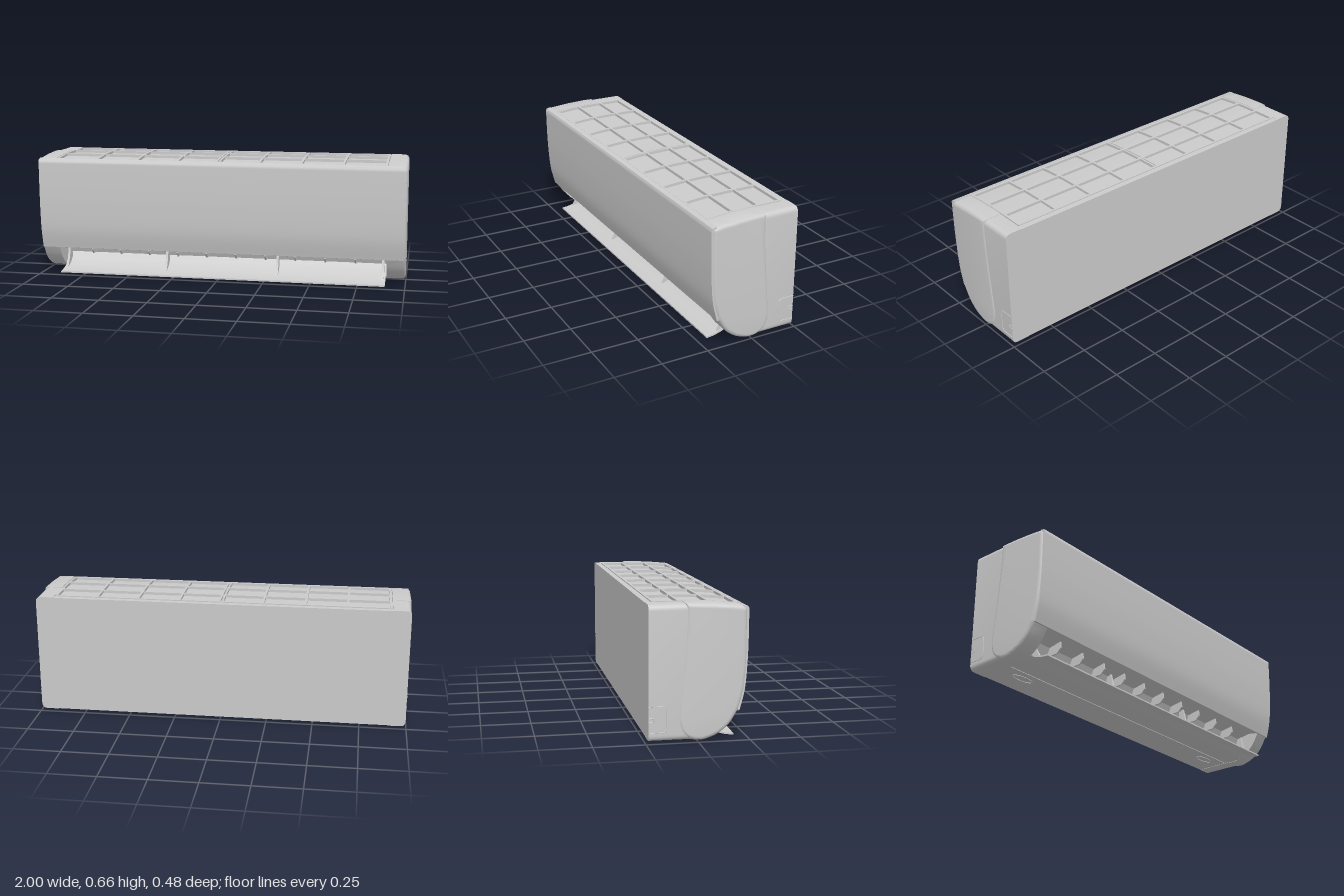
import * as THREE from 'three';
import { toCreasedNormals } from 'three/addons/utils/BufferGeometryUtils.js';

const grey = new THREE.MeshStandardMaterial({ color: 0xcccccc, side: THREE.DoubleSide });
const END = 0.9; // where the middle body meets the end caps

export function createModel() {
  const model = new THREE.Group();
  const add = (name, geometry) => {
    const mesh = new THREE.Mesh(toCreasedNormals(geometry, 0.6), grey);
    mesh.name = name;
    model.add(mesh);
    return mesh;
  };
  const box = (name, w, h, d, x, y, z) =>
    add(name, new THREE.BoxGeometry(w, h, d).translate(x, y, z));

  // Extrudes a [z, y] profile along x from x0 to x1
  const sideExtrude = (points, x0, x1, bevel = 0) => {
    const shape = new THREE.Shape(points.map(([z, y]) => new THREE.Vector2(-z, y)));
    return new THREE.ExtrudeGeometry(shape, {
      depth: x1 - x0 - 2 * bevel, bevelEnabled: bevel > 0, bevelThickness: bevel,
      bevelSize: bevel, bevelOffset: -bevel, bevelSegments: 4,
    }).rotateY(Math.PI / 2).translate(x0 + bevel, 0, 0);
  };
  const smooth = (points, n) =>
    new THREE.SplineCurve(points.map(([z, y]) => new THREE.Vector2(z, y)))
      .getPoints(n).map((p) => [p.x, p.y]);
  const topY = (z) => 0.66 - 0.015 * Math.max(0, (z + 0.05) / 0.26) ** 2;

  // Shared curves of the body
  const front = smooth([[0.23, 0.632], [0.232, 0.5], [0.23, 0.38], [0.219, 0.25], [0.192, 0.15]], 24);
  const belly = smooth([[0.192, 0.15], [0.15, 0.083], [0.1, 0.04], [0.05, 0.018], [0.01, 0.01],
    [-0.035, 0.016], [-0.075, 0.042], [-0.095, 0.09], [-0.097, 0.14], [-0.082, 0.3], [-0.065, 0.5], [-0.06, 0.659]], 50);
  const crown = [-0.02, 0.03, 0.08, 0.12, 0.16, 0.19, 0.212].map((z) => [z, topY(z)]);

  // Middle body with sunken intake on top and open air outlet below
  const sunken = [-0.203, -0.1, -0.05, 0.03, 0.09, 0.15, 0.207].map((z) => [z, topY(z) - 0.014]);
  add('middleBody', sideExtrude([
    [-0.237, 0.015], [-0.237, 0.655], [-0.203, 0.655], ...sunken, [0.207, 0.645], ...front,
    [0.13, 0.16], [0.05, 0.145], [0.025, 0.09], [0.055, 0.055], [0.092, 0.034],
    [0.05, 0.018], [0.01, 0.011], [-0.03, 0.015],
  ], -END, END));

  for (const s of [-1, 1]) {
    // Rounded front part of each end, bevelled on the outer side only
    const cap = sideExtrude([...crown, ...front, ...belly.slice(1)], s > 0 ? 0.84 : -1, s > 0 ? 1 : -0.84, 0.02);
    const p = cap.attributes.position;
    for (let i = 0; i < p.count; i++) p.setX(i, s * Math.max(END, s * p.getX(i)));
    add('endCap', cap);

    // Squarer rear part of each end
    const r = 0.03, X = 0.996 * s, lo = 0.013, hi = 0.657;
    const rear = new THREE.Shape();
    rear.moveTo(END * s, lo);
    rear.lineTo(X - r * s, lo);
    rear.quadraticCurveTo(X, lo, X, lo + r);
    rear.lineTo(X, hi - r);
    rear.quadraticCurveTo(X, hi, X - r * s, hi);
    rear.lineTo(END * s, hi);
    add('rearEnd', new THREE.ExtrudeGeometry(rear, { depth: 0.22, bevelEnabled: false, curveSegments: 6 })
      .translate(0, 0, -0.237));

    // Outline of the pipe knock-out and its slot
    const outline = (name, z, y0, y1, c, radius) => {
      const path = new THREE.CurvePath();
      const v = (zz, y) => new THREE.Vector3(X, y, zz);
      path.add(new THREE.LineCurve3(v(-0.237, y0), v(z - c, y0)));
      path.add(new THREE.QuadraticBezierCurve3(v(z - c, y0), v(z, y0), v(z, y0 + c)));
      path.add(new THREE.LineCurve3(v(z, y0 + c), v(z, y1 - c)));
      path.add(new THREE.QuadraticBezierCurve3(v(z, y1 - c), v(z, y1), v(z - c, y1)));
      path.add(new THREE.LineCurve3(v(z - c, y1), v(-0.237, y1)));
      add(name, new THREE.TubeGeometry(path, 48, radius, 6));
    };
    outline('knockoutOutline', -0.15, 0.054, 0.179, 0.028, 0.002);
    outline('knockoutSlot', -0.212, 0.107, 0.124, 0.007, 0.002);

    // Latch under the body
    const latch = new THREE.Shape().absellipse(0, 0, 0.065, 0.025, 0, Math.PI * 2);
    latch.holes.push(new THREE.Path().absellipse(0, 0, 0.06, 0.02, 0, Math.PI * 2));
    add('bottomLatch', new THREE.ExtrudeGeometry(latch, { depth: 0.003, bevelEnabled: false })
      .rotateX(Math.PI / 2).translate(0.76 * s, 0.015, -0.11));
  }
  box('bottomSeam', 1.8, 0.003, 0.003, 0, 0.0135, -0.05);

  // Curved front panel
  const face = smooth([[0.239, 0.632], [0.238, 0.5], [0.234, 0.38], [0.223, 0.25], [0.198, 0.147]], 24);
  add('frontPanel', sideExtrude([
    [0.21, 0.646], [0.234, 0.64], ...face, [0.19, 0.145],
    ...face.map(([z, y]) => [z - 0.011, y]).reverse().slice(1), [0.21, 0.63],
  ], -0.992, 0.992));

  // Intake grille: bars across the depth follow the curved top
  const bar = (x, w) => {
    const zs = [-0.205, -0.12, -0.05, 0.02, 0.08, 0.14, 0.208];
    add('grilleRib', sideExtrude([
      ...zs.map((z) => [z, topY(z)]), ...zs.map((z) => [z, topY(z) - 0.02]).reverse(),
    ], x - w / 2, x + w / 2));
  };
  for (let i = -4; i <= 4; i++) {
    if (i === 0) [-0.008, 0.008].forEach((x) => bar(x, 0.01));
    else bar(i * 0.2225, 0.012);
  }
  for (const z of [-0.2, -0.077, 0.064, 0.203])
    box('grilleRail', 1.79, 0.018, 0.012, 0, topY(z) - 0.009, z);

  // Open air flap
  const flap = smooth([[0.195, 0.002], [0.155, 0.007], [0.115, 0.018], [0.086, 0.032]], 12);
  add('airFlap', sideExtrude([...flap, ...flap.map(([z, y]) => [z, y + 0.008]).reverse()], -0.895, 0.895));

  // Flap brackets
  for (const x of [-0.88, -0.31, 0.31, 0.88])
    add('flapBracket', sideExtrude([[0.135, 0.016], [0.09, 0.034], [0.05, 0.07], [0.06, 0.13],
      [0.085, 0.14], [0.1, 0.075]], x - 0.006, x + 0.006));

  // Vertical louvres inside the outlet
  for (let i = -5; i < 5; i++)
    add('louvre', sideExtrude([[0.03, 0.1], [0.1, 0.1], [0.125, 0.125], [0.12, 0.16], [0.03, 0.15]],
      (i + 0.5) * 0.163 - 0.004, (i + 0.5) * 0.163 + 0.004));

  return model;
}
